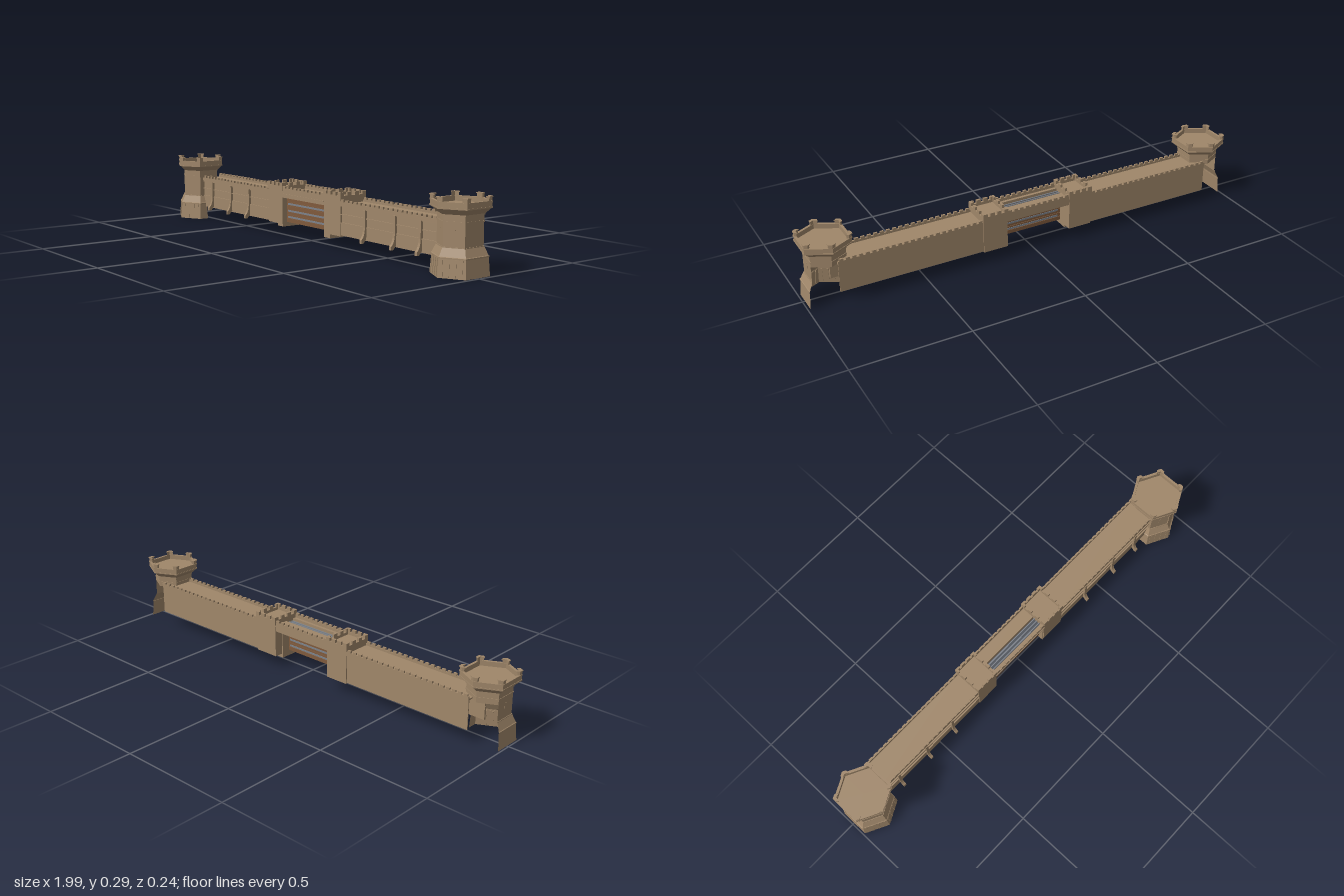
import * as THREE from 'three';
import { mergeGeometries } from 'three/addons/utils/BufferGeometryUtils.js';

const mat = (name, color) => new THREE.MeshStandardMaterial({ name, color, side: THREE.DoubleSide });

// Hexagon corners: flat sides face x, points face z
const hex = (s) => [[.866, -.55], [.866, .55], [0, 1], [-.866, .55], [-.866, -.55], [0, -1]]
  .map(([x, z]) => [x * s, z * s]);

// Hexagonal loft through rows of [y, size], limited to the chosen sides.
// One side may be cut short so that it stops at the curtain wall.
function hexLoft(rows, sides = [0, 1, 2, 3, 4, 5], cutSide = -1) {
  const pos = [];
  for (let r = 0; r < rows.length - 1; r++) {
    for (const k of sides) {
      const corner = ([y, s], i) => {
        const [x, z] = hex(s)[i % 6];
        return [x, y, k === cutSide ? Math.max(z, .02) : z];
      };
      const a = corner(rows[r], k), b = corner(rows[r], k + 1);
      const c = corner(rows[r + 1], k), d = corner(rows[r + 1], k + 1);
      pos.push(...b, ...a, ...c, ...b, ...c, ...d);
    }
  }
  const g = new THREE.BufferGeometry();
  g.setAttribute('position', new THREE.Float32BufferAttribute(pos, 3));
  g.computeVertexNormals();
  return g;
}

const boxGeo = (x0, x1, y0, y1, z0, z1) =>
  new THREE.BoxGeometry(x1 - x0, y1 - y0, z1 - z0).translate((x0 + x1) / 2, (y0 + y1) / 2, (z0 + z1) / 2);

// Bent merlon wrapping a hexagon corner
function cornerMerlon(k, outer, inner, reach, y0, y1) {
  const side = (s, dir) => {
    const p = hex(s), a = new THREE.Vector2(...p[k]), b = new THREE.Vector2(...p[(k + dir + 6) % 6]);
    return a.add(b.sub(a).setLength(reach));
  };
  const pts = [side(outer, -1), new THREE.Vector2(...hex(outer)[k]), side(outer, 1),
    side(inner, 1), new THREE.Vector2(...hex(inner)[k]), side(inner, -1)];
  const shape = new THREE.Shape(pts.map((p) => new THREE.Vector2(p.x, -p.y)));
  return new THREE.ExtrudeGeometry(shape, { depth: y1 - y0, bevelEnabled: false })
    .rotateX(-Math.PI / 2).translate(0, y0, 0);
}

export function createModel() {
  const stone = mat('stone', 0xa0876a);
  const wood = mat('wood', 0x7f5a3c);
  const iron = mat('iron', 0x7d828a);
  const slate = mat('dark iron', 0x50545c);
  const root = new THREE.Group();
  root.name = 'fortressWall';

  const add = (parent, name, geo, material) => {
    const m = new THREE.Mesh(Array.isArray(geo) ? mergeGeometries(geo) : geo, material);
    m.name = name;
    parent.add(m);
  };
  const box = (parent, name, material, ...b) => add(parent, name, boxGeo(...b), material);

  // Hexagonal corner towers, open at the lower back where the wall enters
  function tower(x, z, innerSide) {
    const t = new THREE.Group();
    t.name = 'tower';
    t.position.set(x, 0, z);
    root.add(t);
    const front = [0, 1, 2, 3];
    add(t, 'towerBase', hexLoft([[0, .11], [.07, .104], [.07, .106], [.075, .106],
      [.077, .103], [.108, .088], [.111, .088], [.111, .085]], front, innerSide), stone);
    add(t, 'towerBody', hexLoft([[.11, .085], [.18, .085]], front, innerSide), stone);
    add(t, 'towerUpperBody', hexLoft([[.18, .085], [.225, .085]]), stone);
    add(t, 'towerBand', hexLoft([[.198, .085], [.198, .087], [.204, .087], [.204, .085]]), stone);
    add(t, 'towerCorbel', hexLoft([[.225, .085], [.225, .088], [.229, .088], [.25, .111]]), stone);
    add(t, 'towerParapet', hexLoft([[.25, .111], [.25, .114], [.255, .114], [.255, .112], [.27, .112],
      [.27, .114], [.276, .114], [.276, .102], [.256, .102], [.256, 0]]), stone);
    const merlons = [];
    for (let k = 0; k < 6; k++) {
      merlons.push(cornerMerlon(k, .112, .103, .016, .276, .289));
      merlons.push(cornerMerlon(k, .115, .101, .018, .289, .293));
    }
    add(t, 'towerMerlons', merlons, stone);

    for (const k of front) {
      const p = hex(1)[k], q = hex(1)[k + 1];
      const yaw = Math.atan2(q[1] - p[1], p[0] - q[0]);
      const place = (name, s, y, lean) => {
        const g = new THREE.Group();
        g.name = name;
        g.position.set((p[0] + q[0]) / 2 * s, y, (p[1] + q[1]) / 2 * s);
        g.rotation.set(-lean, yaw, 0, 'YXZ');
        t.add(g);
        return g;
      };
      // Arrow slit
      if (k !== innerSide) {
        box(place('arrowSlit', .085, .162, 0), 'slitPlate', stone, -.004, .004, -.012, .012, -.002, .001);
      }
      // Ribs on the sloping front faces of the base
      if (k === 1 || k === 2) {
        const foot = place('baseFace', .11, 0, .075);
        for (const u of [-.038, -.013, .013, .038]) {
          box(foot, 'baseRib', stone, u - .003, u + .003, .003, .069, -.003, .002);
        }
      }
    }
  }
  tower(-.897, .003, 0);
  tower(.894, -.005, 3);

  // A row of small merlons along x
  function merlonRow(name, x0, x1, y0, y1, z0, z1) {
    const n = Math.round((x1 - x0) / .027), w = (x1 - x0) / n, geos = [];
    for (let i = 0; i < n; i++) {
      const x = x0 + (i + .5) * w;
      geos.push(boxGeo(x - w * .3, x + w * .3, y0, y1, z0, z1));
    }
    add(root, name, geos, stone);
  }

  // Curtain walls: hollow, open underneath and at the tower ends
  const inL = -.165, inR = .132, outL = -.27, outR = .242;
  for (const [x0, x1] of [[-.87, outL], [outR, .87]]) {
    box(root, 'wallFront', stone, x0, x1, .058, .186, .021, .026);
    box(root, 'wallBack', stone, x0, x1, .058, .186, -.09, -.086);
    box(root, 'wallDeck', stone, x0, x1, .182, .188, -.088, .027);
    box(root, 'wallFoot', stone, x0, x1, .058, .108, .025, .03);
    for (const y of [.108, .143]) box(root, 'wallLedge', stone, x0, x1, y, y + .004, .024, .032);
    box(root, 'wallCornice', stone, x0, x1, .178, .185, .025, .033);
    box(root, 'frontParapet', stone, x0, x1, .185, .197, .027, .035);
    box(root, 'backParapet', stone, x0, x1, .18, .197, -.093, -.085);
    merlonRow('frontMerlons', x0, x1, .197, .206, .027, .035);
    merlonRow('backMerlons', x0, x1, .197, .206, -.093, -.085);
  }

  // Buttresses with a foot that sweeps forward
  const profile = new THREE.Shape();
  profile.moveTo(.025, .18);
  profile.lineTo(.037, .18);
  profile.lineTo(.037, .11);
  profile.quadraticCurveTo(.038, .075, .055, .062);
  profile.lineTo(.055, .048);
  profile.lineTo(.045, .048);
  profile.lineTo(.025, .07);
  for (const x of [-.74, -.58, -.43, .397, .577, .723]) {
    const g = new THREE.ExtrudeGeometry(profile, { depth: .012, bevelEnabled: false, curveSegments: 4 });
    add(root, 'buttress', g.rotateY(-Math.PI / 2).translate(x + .006, 0, 0), stone);
  }

  // Gate towers with a lower pillar beside the gate
  for (const [x0, x1, p0, p1, foot] of [[outL, inL, -.205, inL, .042], [inR, outR, inR - .004, .17, .036]]) {
    box(root, 'gateTower', stone, x0, x1, .054, .208, -.094, .034);
    box(root, 'gatePillar', stone, p0, p1, foot, .17, -.055, .03);
    const px0 = x0 - .003, px1 = x1 + .003, f = .037, b = -.098, w = .01;
    box(root, 'gateTowerCornice', stone, px0, px1, .2, .206, b, f);
    const rails = [boxGeo(px0, px1, .206, .22, f - w, f), boxGeo(px0, px1, .206, .22, b, b + w),
      boxGeo(px0, px0 + w, .206, .22, b, f), boxGeo(px1 - w, px1, .206, .22, b, f)];
    add(root, 'gateTowerParapet', rails, stone);
    const tops = [];
    for (let i = 0; i < 4; i++) {
      const mx = px0 + (px1 - px0 - .02) * i / 3, mz = b + (f - b - .02) * i / 3;
      for (const z of [b, f - w]) tops.push(boxGeo(mx, mx + .02, .22, .234, z, z + w));
      for (const x of [px0, px1 - w]) tops.push(boxGeo(x, x + w, .22, .234, mz, mz + .02));
    }
    add(root, 'gateTowerMerlons', tops, stone);
  }

  // Gate bridge with a barred slot in its deck
  box(root, 'gateFrontLintel', stone, inL, inR, .17, .2, .014, .033);
  box(root, 'gateBackLintel', stone, inL, inR, .17, .2, -.092, -.03);
  box(root, 'gateFrontCornice', stone, inL, inR, .183, .188, .033, .036);
  box(root, 'gateFrontParapet', stone, inL, inR, .2, .212, .027, .036);
  box(root, 'gateBackParapet', stone, inL, inR, .2, .212, -.094, -.086);
  merlonRow('gateFrontMerlons', inL, inR, .212, .221, .027, .036);
  merlonRow('gateBackMerlons', inL, inR, .212, .221, -.094, -.086);
  box(root, 'slotFloor', slate, inL, inR, .17, .176, -.03, .014);
  for (const z of [-.022, -.008, .006]) box(root, 'slotBar', iron, inL, inR, .186, .191, z - .0025, z + .0025);

  // Planked wooden gate, deeply recessed at the back, with iron straps on both faces
  box(root, 'gateCore', wood, inL, inR, .06, .17, -.012, .006);
  const planks = 6, h = .11 / planks;
  for (const [z0, z1] of [[.006, .01], [-.016, -.012]]) {
    for (let i = 0; i < planks; i++) {
      box(root, 'gatePlank', wood, inL, inR, .06 + i * h + .001, .06 + (i + 1) * h - .001, z0, z1);
    }
    for (const y of [.085, .112, .142]) {
      box(root, 'gateStrap', iron, inL + .012, inR - .012, y - .004, y + .004, z0 - .002, z1 + .002);
    }
  }
  return root;
}
